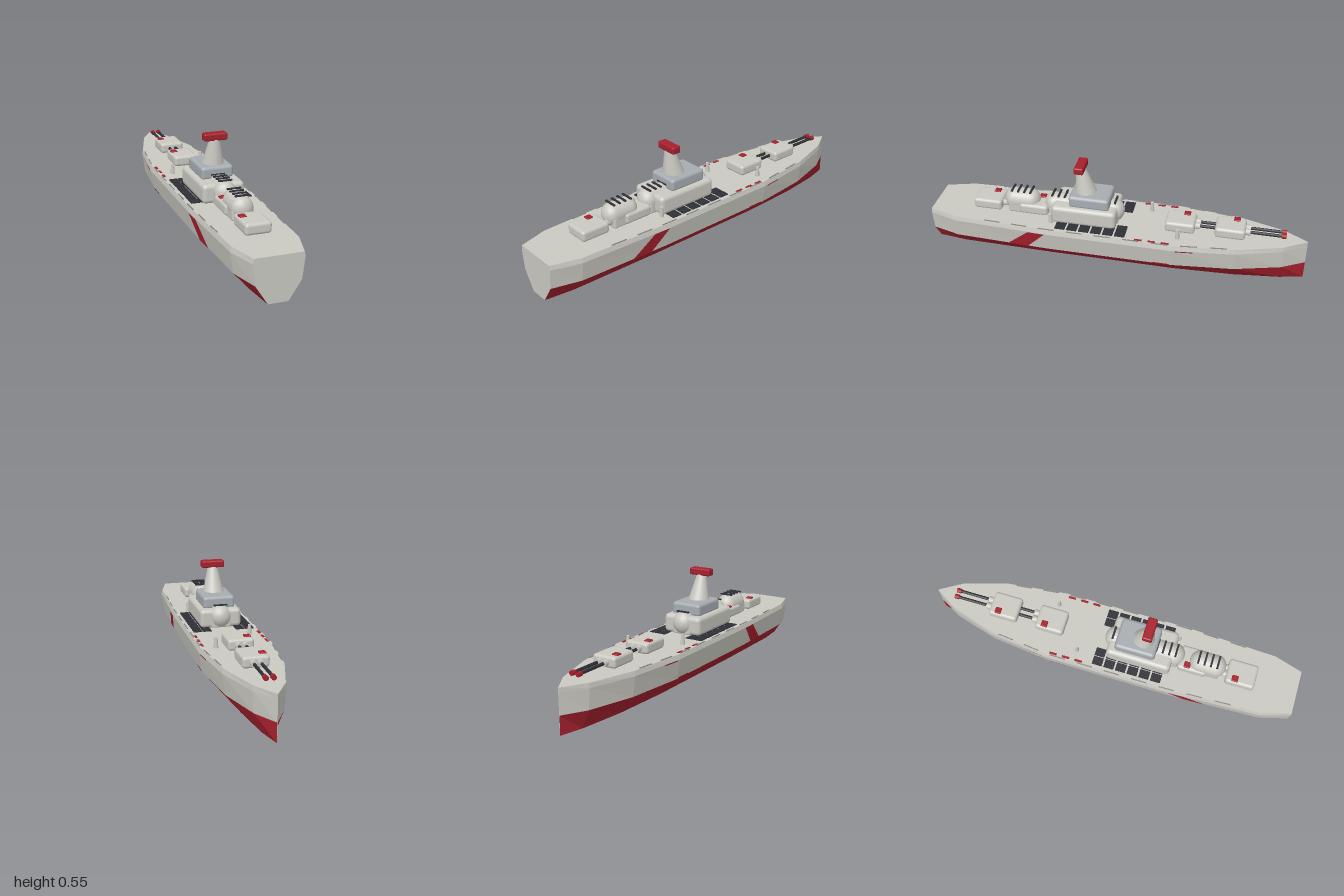
import * as THREE from 'three';
import { RoundedBoxGeometry } from 'three/addons/geometries/RoundedBoxGeometry.js';

const DECK = 0.225;
// Hull half-breadth stations [z, half width] and section levels [y, fraction of half width]
const STATIONS = [[-1, 0.001], [-0.88, 0.077], [-0.64, 0.152], [-0.32, 0.19], [0.35, 0.19], [0.85, 0.168], [1, 0.122]];
const LEVELS = [[0, 0.4], [0.095, 0.9], [0.2, 1], [DECK, 0.965]];

function interpolate(table, t) {
  for (let i = 0; i < table.length - 1; i++) {
    const [t0, v0] = table[i], [t1, v1] = table[i + 1];
    if (t <= t1) return v0 + (v1 - v0) * (t - t0) / (t1 - t0);
  }
  return table[table.length - 1][1];
}
const hullX = (z, y) => interpolate(STATIONS, z) * interpolate(LEVELS, y);

function quadGeometry(quads) {
  const pos = [];
  for (const [a, b, c, d] of quads) pos.push(...a, ...b, ...c, ...a, ...c, ...d);
  const g = new THREE.BufferGeometry();
  g.setAttribute('position', new THREE.Float32BufferAttribute(pos, 3));
  g.computeVertexNormals();
  return g;
}

export function createModel() {
  const model = new THREE.Group();
  const material = (name, color) => {
    const m = new THREE.MeshStandardMaterial({ color });
    m.name = name;
    return m;
  };
  const grey = material('hull grey', 0xc9c8c1);
  const red = material('red', 0xa5202d);
  const blueGrey = material('bridge grey', 0xa6acb1);
  const dark = material('dark fittings', 0x2f2f37);
  const railGrey = material('rail grey', 0x8b8b87);

  const add = (name, geometry, mat, x = 0, y = 0, z = 0, parent = model) => {
    const mesh = new THREE.Mesh(geometry, mat);
    mesh.name = name;
    mesh.position.set(x, y, z);
    parent.add(mesh);
    return mesh;
  };
  const rounded = (w, h, d, r) => new RoundedBoxGeometry(w, h, d, 2, r);

  // Hull: lofted sections, with a red lower band
  const plates = [], band = [];
  const point = (s, station, level) => [s * station[1] * level[1], level[0], station[0]];
  for (let i = 0; i < STATIONS.length - 1; i++) {
    const p = STATIONS[i], q = STATIONS[i + 1];
    for (let j = 0; j < LEVELS.length - 1; j++) {
      const lo = LEVELS[j], hi = LEVELS[j + 1];
      for (const s of [1, -1]) {
        const quad = [point(s, p, lo), point(s, p, hi), point(s, q, hi), point(s, q, lo)];
        (j === 0 ? band : plates).push(s > 0 ? quad : quad.reverse());
      }
    }
    const top = LEVELS[3], keel = LEVELS[0];
    plates.push([point(-1, p, top), point(-1, q, top), point(1, q, top), point(1, p, top)]);
    plates.push([point(1, p, keel), point(1, q, keel), point(-1, q, keel), point(-1, p, keel)]);
  }
  // Flat transom and narrow stem
  const stern = STATIONS[STATIONS.length - 1], stem = STATIONS[0];
  for (let j = 0; j < LEVELS.length - 1; j++) {
    const lo = LEVELS[j], hi = LEVELS[j + 1];
    plates.push([point(-1, stern, lo), point(1, stern, lo), point(1, stern, hi), point(-1, stern, hi)]);
    plates.push([point(1, stem, lo), point(-1, stem, lo), point(-1, stem, hi), point(1, stem, hi)]);
  }
  add('hull', quadGeometry(plates), grey);
  add('lowerHullBand', quadGeometry(band), red);

  // Painted marks on the hull sides: [z, y] corners
  const marks = {
    diagonalStripe: [[0.45, 0.095], [0.35, 0.2], [0.44, 0.2], [0.56, 0.095]],
    upperDash: [[-0.43, 0.194], [-0.43, 0.2], [-0.34, 0.2], [-0.34, 0.194]],
    lowerDash: [[-0.31, 0.095], [-0.31, 0.102], [-0.22, 0.102], [-0.22, 0.095]],
  };
  for (const [name, corners] of Object.entries(marks)) {
    for (const s of [1, -1]) {
      const quad = corners.map(([z, y]) => [s * (hullX(z, y) + 0.002), y, z]);
      add(name, quadGeometry([s > 0 ? quad : quad.reverse()]), red);
    }
  }

  // Deck edge: red dashes, rails and launcher hatches
  for (const s of [1, -1]) {
    for (const z of [-0.285, -0.215, -0.145])
      add('deckDash', new THREE.BoxGeometry(0.012, 0.004, 0.04), red, s * 0.167, DECK, z);
    for (let i = 0; i < 9; i++) {
      const z0 = -0.6 + i * 0.15, z1 = z0 + 0.085;
      const x0 = hullX(z0, DECK) - 0.004, x1 = hullX(z1, DECK) - 0.004;
      const rail = add('edgeRail', new THREE.BoxGeometry(0.005, 0.005, 0.085), railGrey,
        s * (x0 + x1) / 2, DECK + 0.001, (z0 + z1) / 2);
      rail.rotation.y = s * Math.atan2(x1 - x0, z1 - z0);
    }
    for (let row = 0; row < 6; row++)
      for (const x of [0.088, 0.138])
        add('launcherHatch', new THREE.BoxGeometry(0.045, 0.006, 0.054), dark, s * x, DECK + 0.001, -0.045 + row * 0.064);
  }

  // Gun turrets, all aimed at the bow
  const barrel = new THREE.CylinderGeometry(0.008, 0.008, 0.2, 10).rotateX(Math.PI / 2);
  const collar = new THREE.CylinderGeometry(0.017, 0.017, 0.05, 10).rotateX(Math.PI / 2);
  const muzzle = new THREE.CylinderGeometry(0.0125, 0.0125, 0.024, 10).rotateX(Math.PI / 2);
  for (const z of [-0.603, -0.343, 0.442, 0.698]) {
    const turret = new THREE.Group();
    turret.name = 'gunTurret';
    turret.position.set(0, 0.255, z);
    model.add(turret);
    add('turretBody', rounded(0.132, 0.058, 0.156, 0.016), grey, 0, 0, 0, turret);
    add('turretSight', rounded(0.034, 0.012, 0.034, 0.004), red, -0.04, 0.029, -0.028, turret);
    for (const x of [-0.018, 0.018]) {
      add('gunCollar', collar, grey, x, 0, -0.078, turret);
      add('gunBarrel', barrel, dark, x, 0, -0.178, turret);
      add('gunMuzzle', muzzle, red, x, 0, -0.274, turret);
    }
  }

  // Superstructure and bridge
  add('superstructure', rounded(0.22, 0.1, 0.345, 0.022), grey, 0, 0.272, 0.16);
  add('bridge', rounded(0.17, 0.068, 0.215, 0.017), blueGrey, 0, 0.348, 0.135);

  // Rounded engine housings with dark vent bars: [centre z, length, base y]
  for (const z of [0.055, 0.292, 0.515]) {
    const housing = new THREE.Group();
    housing.name = 'engineHousing';
    housing.position.set(0, 0.281, z);
    model.add(housing);
    const dome = new THREE.CapsuleGeometry(0.06, 0.11, 5, 16).rotateX(Math.PI / 2);
    dome.scale(0.95, 1, 0.84);
    add('housingDome', dome, grey, 0, 0, 0, housing);
    add('housingBase', rounded(0.11, 0.06, 0.14, 0.012), grey, 0, -0.03, 0, housing);
    for (let i = 0; i < 4; i++)
      add('ventBar', new THREE.BoxGeometry(0.072, 0.007, 0.01), dark, 0, 0.061, (i - 1.5) * 0.034, housing);
  }

  // Raked mast with its red sensor head
  const mast = new THREE.CylinderGeometry(0.025, 0.057, 0.135, 20);
  const p = mast.attributes.position;
  for (let i = 0; i < p.count; i++) p.setZ(i, p.getZ(i) + (p.getY(i) / 0.135 + 0.5) * 0.026);
  mast.computeVertexNormals();
  add('mast', mast, grey, 0, 0.4445, 0.164);
  add('sensorHead', rounded(0.122, 0.038, 0.05, 0.008), red, 0, 0.526, 0.19);

  // Small deck posts
  for (const [x, z] of [[-0.11, -0.17], [0.108, -0.34], [0.108, 0.335]])
    add('deckPost', new THREE.CylinderGeometry(0.008, 0.012, 0.055, 10), grey, x, DECK + 0.0265, z);

  return model;
}
